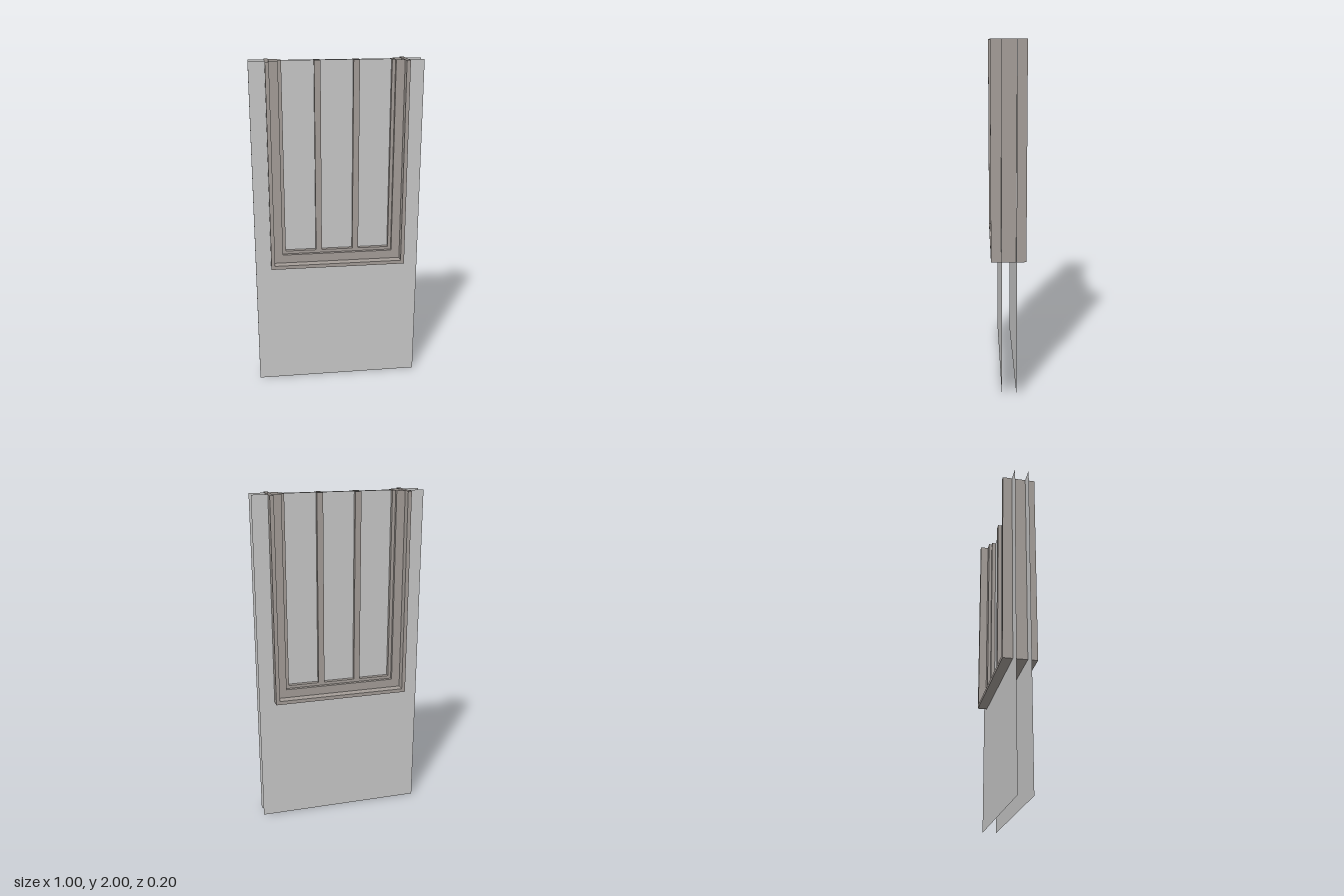
import * as THREE from 'three';

const TOP = 2;
const sheetGrey = new THREE.MeshStandardMaterial({ color: 0xc8c8c8, side: THREE.DoubleSide });
sheetGrey.name = 'sheetGrey';
const frameTaupe = new THREE.MeshStandardMaterial({ color: 0xa49d98, side: THREE.DoubleSide });
frameTaupe.name = 'frameTaupe';

// Open-ended tube joining a list of four-cornered rings, with sharp edges
function loft(rings) {
  const pos = [];
  for (let i = 0; i < rings.length - 1; i++) {
    for (let j = 0; j < 4; j++) {
      const k = (j + 1) % 4;
      const a = rings[i][j], b = rings[i][k], c = rings[i + 1][k], d = rings[i + 1][j];
      pos.push(...a, ...b, ...c, ...a, ...c, ...d);
    }
  }
  const geometry = new THREE.BufferGeometry();
  geometry.setAttribute('position', new THREE.Float32BufferAttribute(pos, 3));
  geometry.computeVertexNormals();
  return geometry;
}

// U-shaped frame: two jambs and a sill, mitred at the corners, open at the top
function uFrame(outerX, outerY, innerX, innerY, z) {
  const ring = (side, atTop) => {
    const outer = [side * outerX, atTop ? TOP : outerY];
    const inner = [side * innerX, atTop ? TOP : innerY];
    return [[...outer, z], [...inner, z], [...inner, -z], [...outer, -z]];
  };
  return loft([ring(-1, true), ring(-1, false), ring(1, false), ring(1, true)]);
}

// Upright bar, open at the top
function bar(x, halfWidth, bottom, z) {
  const ring = (y) => [
    [x - halfWidth, y, z], [x + halfWidth, y, z],
    [x + halfWidth, y, -z], [x - halfWidth, y, -z],
  ];
  return loft([ring(bottom), ring(TOP)]);
}

export function createModel() {
  const model = new THREE.Group();
  model.name = 'wallPanelWithWindow';
  const add = (name, geometry, material) => {
    const mesh = new THREE.Mesh(geometry, material);
    mesh.name = name;
    model.add(mesh);
    return mesh;
  };

  // Front and back wall sheets, cut out around the window
  const outline = [
    [-0.5, 0], [0.5, 0], [0.5, TOP], [0.407, TOP],
    [0.407, 0.773], [-0.407, 0.773], [-0.407, TOP], [-0.5, TOP],
  ];
  const wall = new THREE.ShapeGeometry(new THREE.Shape(outline.map(([x, y]) => new THREE.Vector2(x, y))));
  add('frontWallSheet', wall, sheetGrey).position.z = 0.042;
  const back = add('backWallSheet', wall, sheetGrey);
  back.position.z = -0.042;
  back.rotation.y = Math.PI;

  // Stepped window frame, from the wall inwards
  add('outerFrame', uFrame(0.407, 0.773, 0.385, 0.795, 0.1), frameTaupe);
  add('middleFrame', uFrame(0.385, 0.795, 0.334, 0.846, 0.051), frameTaupe);
  add('sash', uFrame(0.334, 0.846, 0.315, 0.864, 0.032), frameTaupe);

  // Mullions
  for (const side of [-1, 1]) {
    add(side < 0 ? 'rightMullion' : 'leftMullion', bar(side * 0.112, 0.018, 0.846, 0.032), frameTaupe);
  }

  // Double glazing
  const paneHeight = TOP - 0.864;
  const pane = new THREE.PlaneGeometry(0.63, paneHeight);
  for (const side of [-1, 1]) {
    const glass = add(side < 0 ? 'backPane' : 'frontPane', pane, sheetGrey);
    glass.position.set(0, 0.864 + paneHeight / 2, side * 0.008);
    if (side < 0) glass.rotation.y = Math.PI;
  }
  return model;
}
